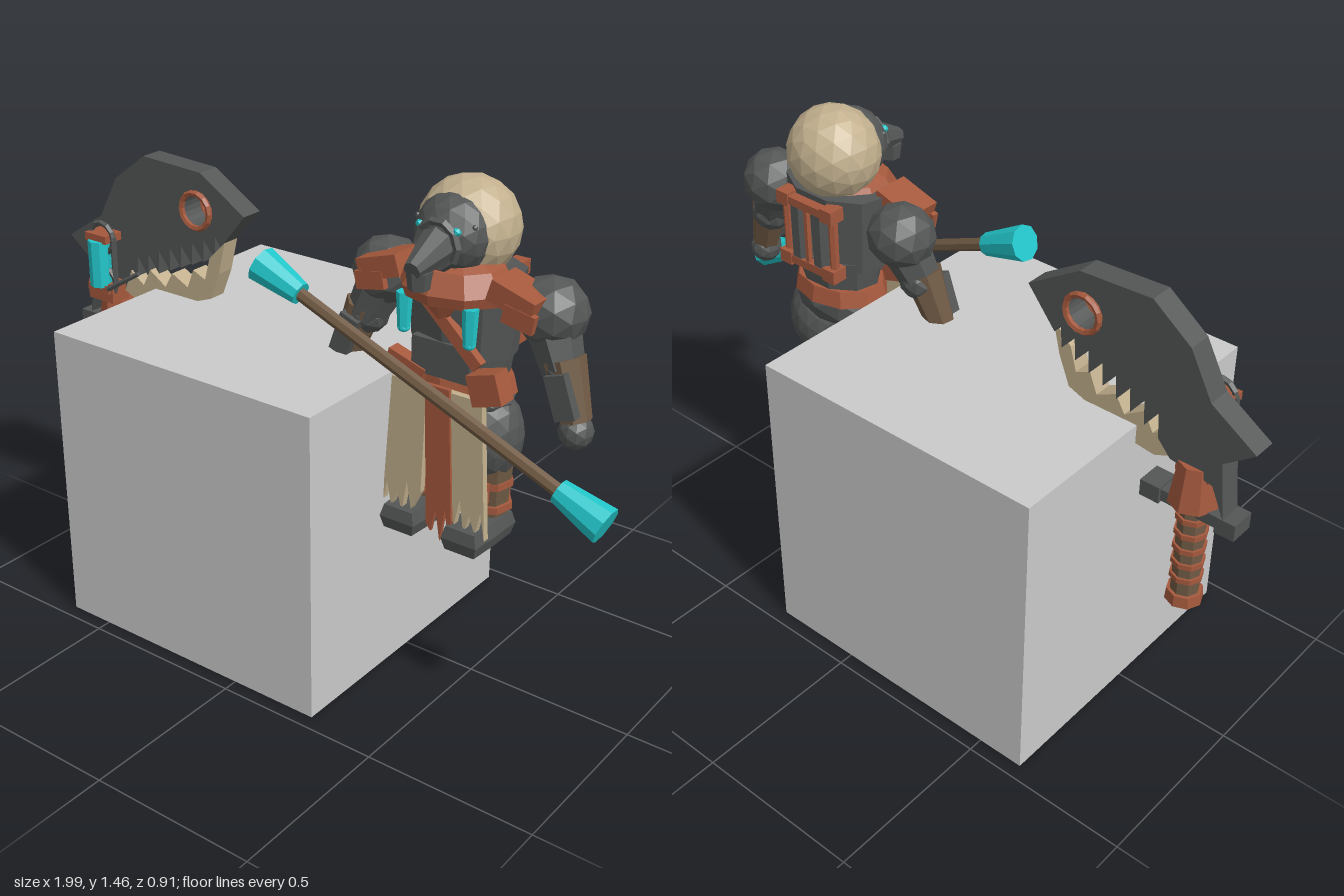
import * as THREE from 'three';

const mat = (name, color) => {
  const m = new THREE.MeshStandardMaterial({ color });
  m.name = name;
  return m;
};

export function createModel() {
  const stone = mat('stone', 0xcacaca), iron = mat('dark iron', 0x535655);
  const rust = mat('rust leather', 0xa5593d), wood = mat('brown wood', 0x705a44);
  const cloth = mat('cream cloth', 0xc2b08e), cyan = mat('cyan glass', 0x22c6ca);
  const model = new THREE.Group();
  model.name = 'model';

  // Adds a faceted mesh
  const add = (parent, name, geo, material, pos = [0, 0, 0], rot = [0, 0, 0], scale = [1, 1, 1]) => {
    const g = geo.index ? geo.toNonIndexed() : geo;
    g.computeVertexNormals();
    const m = new THREE.Mesh(g, material);
    m.name = name;
    m.position.set(...pos);
    m.rotation.set(...rot);
    m.scale.set(...scale);
    parent.add(m);
    return m;
  };
  const box = (p, name, size, material, pos, rot) => add(p, name, new THREE.BoxGeometry(...size), material, pos, rot);
  const ball = (p, name, size, detail, material, pos) =>
    add(p, name, new THREE.IcosahedronGeometry(1, detail), material, pos, [0, 0, 0], size);
  // Tapered cylinder from a to b
  const limb = (p, name, a, b, ra, rb, sides, material) => {
    const A = new THREE.Vector3(...a), B = new THREE.Vector3(...b), d = B.clone().sub(A);
    const m = add(p, name, new THREE.CylinderGeometry(rb, ra, d.length(), sides), material);
    m.position.copy(A).add(B).multiplyScalar(0.5);
    m.quaternion.setFromUnitVectors(new THREE.Vector3(0, 1, 0), d.normalize());
    return m;
  };
  const shapeOf = pts => new THREE.Shape(pts.map(p => new THREE.Vector2(...p)));
  const slab = (p, name, shape, depth, material, z) =>
    add(p, name, new THREE.ExtrudeGeometry(shape, { depth, bevelEnabled: false, curveSegments: 10 }), material, [0, 0, z]);

  box(model, 'block', [0.915, 0.915, 0.914], stone, [-0.183, 0.4575, 0]);

  // ---- Jaw-bladed sword ----
  const sword = new THREE.Group();
  sword.name = 'sword';
  model.add(sword);
  const outline = [[-0.93, 0.77], [-0.89, 0.86], [-0.76, 0.88]];
  const teeth = 8;
  for (let i = 0; i < teeth; i++) {
    const t = i / teeth;
    outline.push([-0.72 + 0.36 * t, 0.925 + 0.155 * t], [-0.715 + 0.36 * t, 1.0 + 0.145 * t]);
  }
  outline.push([-0.38, 1.10], [-0.29, 1.21], [-0.45, 1.31], [-0.67, 1.32], [-0.79, 1.23], [-0.86, 1.10], [-1.0, 1.01], [-0.91, 0.94]);
  const blade = shapeOf(outline);
  blade.holes.push(new THREE.Path().absarc(-0.468, 1.195, 0.05, 0, Math.PI * 2, true));
  slab(sword, 'blade', blade, 0.07, iron, -0.038);
  add(sword, 'eyeRing', new THREE.CylinderGeometry(0.06, 0.06, 0.084, 14, 1, true), rust, [-0.468, 1.195, -0.003], [Math.PI / 2, 0, 0]);
  for (const z of [-0.045, 0.039])
    add(sword, 'eyeRim', new THREE.TorusGeometry(0.053, 0.009, 5, 14), rust, [-0.468, 1.195, z]);
  slab(sword, 'lowerJaw', shapeOf([[-0.77, 0.88], [-0.70, 0.85], [-0.62, 0.86], [-0.50, 0.905], [-0.42, 0.935], [-0.385, 1.02],
    [-0.36, 1.12], [-0.42, 1.06], [-0.44, 0.99], [-0.485, 1.01], [-0.51, 0.95], [-0.57, 0.98], [-0.60, 0.93], [-0.66, 0.97],
    [-0.69, 0.915], [-0.74, 0.95]]), 0.056, cloth, -0.018);

  const hx = -0.823;
  limb(sword, 'grip', [hx, 0.44, 0], [hx, 0.74, 0], 0.04, 0.04, 8, wood);
  for (let i = 0; i < 5; i++)
    limb(sword, 'gripRing', [hx, 0.5 + i * 0.05, 0], [hx, 0.516 + i * 0.05, 0], 0.047, 0.047, 8, rust);
  limb(sword, 'pommel', [hx, 0.42, 0], [hx, 0.455, 0], 0.053, 0.05, 8, rust);
  box(sword, 'guard', [0.25, 0.036, 0.06], iron, [hx, 0.745, 0]);
  for (const s of [-1, 1]) {
    box(sword, 'guardTip', [0.06, 0.05, 0.075], iron, [hx + s * 0.115, 0.745, 0]);
    // Loops of the crystal's link
    add(sword, 'linkLoop', new THREE.TorusGeometry(0.047, 0.009, 5, 12), iron, [hx + 0.005, 0.98 + s * 0.07, 0.075]);
    limb(sword, 'linkBar', [hx + 0.005 + s * 0.047, 0.9, 0.075], [hx + 0.005 + s * 0.047, 1.06, 0.075], 0.009, 0.009, 5, iron);
    box(sword, 'crystalClamp', [0.085, 0.025, 0.07], rust, [hx, 0.973 + s * 0.08, 0.065]);
  }
  add(sword, 'collar', new THREE.CylinderGeometry(0.052, 0.07, 0.13, 8), rust, [hx, 0.825, 0], [0, 0, 0], [1, 1, 1.1]);
  box(sword, 'collarTop', [0.1, 0.06, 0.12], rust, [hx, 0.88, 0.03]);
  limb(sword, 'crystal', [hx, 0.9, 0.085], [hx, 1.045, 0.085], 0.034, 0.034, 8, cyan);
  limb(sword, 'lever', [-0.78, 0.9, 0.1], [-0.665, 0.97, 0.083], 0.009, 0.007, 5, iron);

  // ---- Hooded figure ----
  const fig = new THREE.Group();
  fig.name = 'figure';
  fig.position.x = 0.435;
  model.add(fig);

  // Head and breathing mask
  ball(fig, 'hood', [0.137, 0.135, 0.132], 2, cloth, [0, 1.33, -0.004]);
  ball(fig, 'mask', [0.108, 0.108, 0.1], 2, iron, [0, 1.33, 0.062]);
  limb(fig, 'maskSnout', [0, 1.32, 0.13], [0, 1.282, 0.255], 0.055, 0.024, 8, iron);
  limb(fig, 'filter', [0, 1.225, 0.222], [0, 1.272, 0.222], 0.028, 0.034, 6, iron);
  add(fig, 'maskRing', new THREE.TorusGeometry(0.06, 0.012, 5, 10), iron, [0, 1.32, 0.145]);
  for (const s of [-1, 1]) {
    ball(fig, 'eye', [0.012, 0.012, 0.01], 0, cyan, [s * 0.055, 1.362, 0.143]);
    ball(fig, 'maskStud', [0.008, 0.008, 0.008], 0, iron, [s * 0.085, 1.37, 0.108]);
  }

  // Torso
  add(fig, 'chest', new THREE.CylinderGeometry(0.16, 0.145, 0.23, 9), iron, [0, 1.12, 0.005], [0, 0, 0], [1.08, 1, 0.72]);
  add(fig, 'waist', new THREE.CylinderGeometry(0.145, 0.125, 0.13, 9), iron, [0, 0.965, 0], [0, 0, 0], [1, 1, 0.78]);
  box(fig, 'bellyPlate', [0.18, 0.1, 0.06], iron, [0, 0.995, 0.085]);
  add(fig, 'belt', new THREE.CylinderGeometry(0.142, 0.155, 0.05, 10), rust, [0, 0.915, 0], [0, 0, 0], [1, 1, 0.78]);
  ball(fig, 'hips', [0.15, 0.09, 0.11], 1, iron, [0, 0.87, -0.005]);
  box(fig, 'chestStrap', [0.27, 0.035, 0.025], rust, [0.02, 1.1, 0.115], [0, 0, -0.75]);
  box(fig, 'hipPouch', [0.09, 0.085, 0.06], rust, [0.145, 0.955, 0.105], [0, 0, 0.3]);
  box(fig, 'hipFlap', [0.12, 0.06, 0.04], rust, [-0.11, 0.945, 0.1], [0, 0, -0.3]);

  // Neck scarf
  const scarf = [[0.08, 1.15], [0.15, 1.165], [0.16, 1.195], [0.125, 1.25], [0.08, 1.27]].map(p => new THREE.Vector2(...p));
  add(fig, 'scarf', new THREE.LatheGeometry(scarf, 10), rust, [0, 0, 0.045], [0, 0, 0], [1, 1, 0.88]);
  add(fig, 'scarfFront', new THREE.ConeGeometry(0.08, 0.12, 6), rust, [0, 1.15, 0.12], [Math.PI, 0, 0], [1.2, 1, 0.5]);

  for (const s of [-1, 1]) {
    const side = s > 0 ? 'left' : 'right';
    // Arm
    box(fig, side + 'ShoulderPlate', [0.13, 0.06, 0.11], rust, [s * 0.2, 1.205, 0.065], [0, 0, -s * 0.3]);
    box(fig, side + 'ShoulderFlap', [0.09, 0.05, 0.02], rust, [s * 0.225, 1.165, 0.112], [0, 0, -s * 0.2]);
    ball(fig, side + 'Shoulder', [0.1, 0.095, 0.097], 1, iron, [s * 0.25, 1.155, -0.004]);
    limb(fig, side + 'UpperArm', [s * 0.25, 1.14, 0], [s * 0.305, 1.02, 0.02], 0.075, 0.058, 7, iron);
    ball(fig, side + 'Elbow', [0.06, 0.06, 0.06], 1, iron, [s * 0.3, 1.025, 0.015]);
    limb(fig, side + 'Forearm', [s * 0.305, 1.05, 0.02], [s * 0.36, 0.895, 0.035], 0.058, 0.042, 7, wood);
    box(fig, side + 'Bracer', [0.06, 0.12, 0.035], iron, [s * 0.335, 0.97, 0.07], [0, 0, s * 0.34]);
    ball(fig, side + 'Hand', [0.046, 0.05, 0.05], 1, iron, [s * 0.363, 0.87, 0.037]);
    // Chest vial
    limb(fig, side + 'Vial', [s * 0.1, 1.07, 0.138], [s * 0.1, 1.17, 0.138], 0.017, 0.022, 6, cyan);
    ball(fig, side + 'VialTip', [0.017, 0.012, 0.017], 1, cyan, [s * 0.1, 1.07, 0.138]);
    // Leg
    ball(fig, side + 'Thigh', [0.088, 0.13, 0.096], 2, iron, [s * 0.092, 0.765, -0.003]);
    limb(fig, side + 'Shin', [s * 0.097, 0.52, 0], [s * 0.095, 0.7, 0.003], 0.05, 0.068, 7, wood);
    for (const y of [0.565, 0.635]) {
      limb(fig, side + 'ShinStrap', [s * 0.097, y - 0.01, 0], [s * 0.097, y + 0.01, 0], 0.066, 0.066, 7, rust);
      box(fig, side + 'Buckle', [0.045, 0.035, 0.025], rust, [s * 0.097, y, -0.062]);
    }
    box(fig, side + 'KneeClasp', [0.06, 0.06, 0.03], rust, [s * 0.097, 0.62, 0.065]);
    // Boot: box narrowed at the top and toe
    const boot = new THREE.BoxGeometry(0.122, 0.07, 0.195, 1, 2, 2);
    const p = boot.attributes.position;
    for (let i = 0; i < p.count; i++) {
      const k = (p.getY(i) !== 0 ? 0.84 : 1) * (p.getZ(i) > 0.05 ? 0.9 : 1);
      p.setX(i, p.getX(i) * k);
      p.setZ(i, p.getZ(i) * (p.getY(i) !== 0 ? 0.92 : 1));
    }
    add(fig, side + 'Boot', boot, iron, [s * 0.1, 0.503, 0.058]);
    // Ragged cloth panel
    const panel = slab(fig, side + 'Apron', shapeOf([[s * 0.03, 0.92], [s * 0.14, 0.92], [s * 0.165, 0.52], [s * 0.15, 0.6], [s * 0.135, 0.53],
      [s * 0.115, 0.58], [s * 0.1, 0.52], [s * 0.085, 0.62], [s * 0.07, 0.54], [s * 0.04, 0.6]]), 0.02, cloth, 0.11);
    panel.name = side + 'Apron';
    // Backpack tank and frame posts
    limb(fig, side + 'Tank', [s * 0.042, 1.02, -0.1], [s * 0.042, 1.2, -0.1], 0.034, 0.034, 7, iron);
    limb(fig, side + 'PackPost', [s * 0.09, 0.99, -0.11], [s * 0.09, 1.225, -0.11], 0.014, 0.014, 6, rust);
    for (const y of [1.015, 1.205]) box(fig, side + 'PackCorner', [0.045, 0.04, 0.05], rust, [s * 0.085, y, -0.11]);
  }
  for (const y of [1.015, 1.205]) box(fig, 'packBar', [0.17, 0.025, 0.055], rust, [0, y, -0.105]);
  limb(fig, 'packRod', [0, 1.0, -0.122], [0, 1.215, -0.122], 0.01, 0.01, 5, rust);
  slab(fig, 'apronCenter', shapeOf([[-0.03, 0.93], [0.045, 0.93], [0.065, 0.55], [0.055, 0.5], [0.045, 0.58], [0.03, 0.48],
    [0.015, 0.57], [0, 0.5], [-0.015, 0.52]]), 0.012, rust, 0.126);

  // ---- Staff ----
  const staff = new THREE.Group();
  staff.name = 'staff';
  staff.position.set(0.435, 0.94, 0.183);
  staff.rotation.z = -0.386;
  model.add(staff);
  limb(staff, 'shaft', [-0.5, 0, 0], [0.5, 0, 0], 0.019, 0.019, 7, wood);
  for (const s of [-1, 1])
    limb(staff, 'staffTip', [s * 0.435, 0, 0], [s * 0.58, 0, 0], 0.033, 0.052, 9, cyan);

  return model;
}
